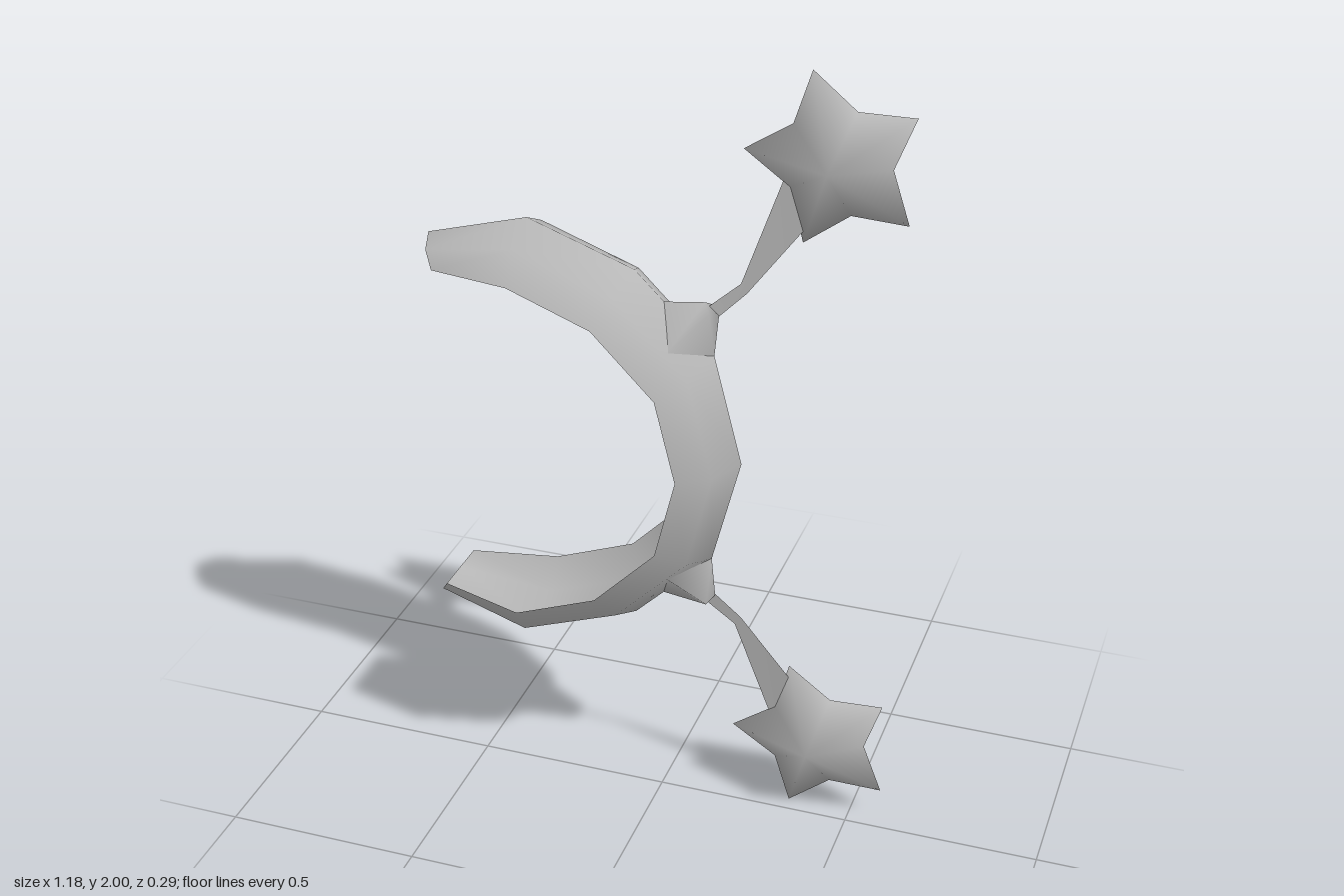
import * as THREE from 'three';

const grey = new THREE.MeshStandardMaterial({ color: 0xb8b8b8, side: THREE.DoubleSide });
grey.name = 'grey';

// smooth mesh from points and triangles; flip mirrors it about y = 1
function makeMesh(name, points, faces, flip = false) {
  const geo = new THREE.BufferGeometry();
  const pos = points.flatMap(([x, y, z]) => [x, flip ? 2 - y : y, z]);
  geo.setAttribute('position', new THREE.Float32BufferAttribute(pos, 3));
  geo.setIndex(faces.flatMap(([a, b, c]) => (flip ? [a, c, b] : [a, b, c])));
  geo.computeVertexNormals();
  const mesh = new THREE.Mesh(geo, grey);
  mesh.name = name;
  return mesh;
}

// triangles joining rows of n points, optionally closed around
function gridFaces(rows, n, closed) {
  const faces = [];
  for (let i = 0; i < rows - 1; i++) {
    for (let j = 0; j < (closed ? n : n - 1); j++) {
      const k = (j + 1) % n;
      const a = i * n + j, b = i * n + k, c = a + n, d = b + n;
      faces.push([a, b, c], [b, d, c]);
    }
  }
  return faces;
}

// open curved band: arched, thin cross-sections along a C
function makeBand() {
  // crest x, crest y, rim x, rim y, half width
  const upper = [
    [-0.597, 1.5, -0.555, 1.44, 0.087],
    [-0.34, 1.572, -0.34, 1.45, 0.145],
    [-0.07, 1.476, -0.13, 1.37, 0.145],
    [0.13, 1.28, 0.028, 1.21, 0.145],
  ];
  const lower = upper.map(([ox, oy, ix, iy, w]) => [ox, 2 - oy, ix, 2 - iy, w]).reverse();
  const stations = [...upper, [0.202, 1, 0.08, 1, 0.145], ...lower];
  const arch = [[-1, 0], [-0.65, 0.63], [0, 1], [0.65, 0.63], [1, 0]];
  const points = stations.flatMap(([ox, oy, ix, iy, w]) =>
    arch.map(([s, t]) => [ix + (ox - ix) * t, iy + (oy - iy) * t, s * w]));
  return makeMesh('band', points, gridFaces(stations.length, arch.length, false));
}

// tapered four-sided socket saddled on the band
function makeSocket(flip) {
  const points = [
    [0, 1.403, 0], [0.035, 1.305, 0.087], [0.13, 1.28, 0], [0.035, 1.305, -0.087],
    [0.105, 1.417, 0], [0.125, 1.4, 0.028], [0.14, 1.385, 0], [0.125, 1.4, -0.028],
  ];
  return makeMesh('socket', points, [...gridFaces(2, 4, true), [4, 5, 6], [4, 6, 7]], flip);
}

// flat ribbon stem widening towards the star
function makeStem(flip) {
  const points = [
    [0.1, 1.395, 0], [0.125, 1.37, 0],
    [0.188, 1.47, -0.015], [0.203, 1.447, -0.015],
    [0.28, 1.74, -0.04], [0.37, 1.67, -0.04],
  ];
  return makeMesh('stem', points, [[0, 1, 2], [1, 3, 2], [2, 3, 4], [3, 5, 4]], flip);
}

// puffed five-pointed star
function makeStar(flip) {
  const cx = 0.4, cy = 1.79, cz = -0.04;
  const points = [[cx, cy, cz + 0.09], [cx, cy, cz - 0.09]];
  const faces = [];
  for (let i = 0; i < 10; i++) {
    const a = Math.PI * (0.992 + i / 5);
    const r = i % 2 ? 0.131 : 0.219;
    points.push([cx + r * Math.cos(a), cy + r * Math.sin(a), cz]);
    const p = 2 + i, q = 2 + (i + 1) % 10;
    faces.push([0, p, q], [1, q, p]);
  }
  return makeMesh('star', points, faces, flip);
}

export function createModel() {
  const model = new THREE.Group();
  model.name = 'starHeadband';
  model.add(makeBand());
  for (const flip of [false, true]) {
    const antenna = new THREE.Group();
    antenna.name = flip ? 'lowerAntenna' : 'upperAntenna';
    antenna.add(makeSocket(flip), makeStem(flip), makeStar(flip));
    model.add(antenna);
  }
  return model;
}
